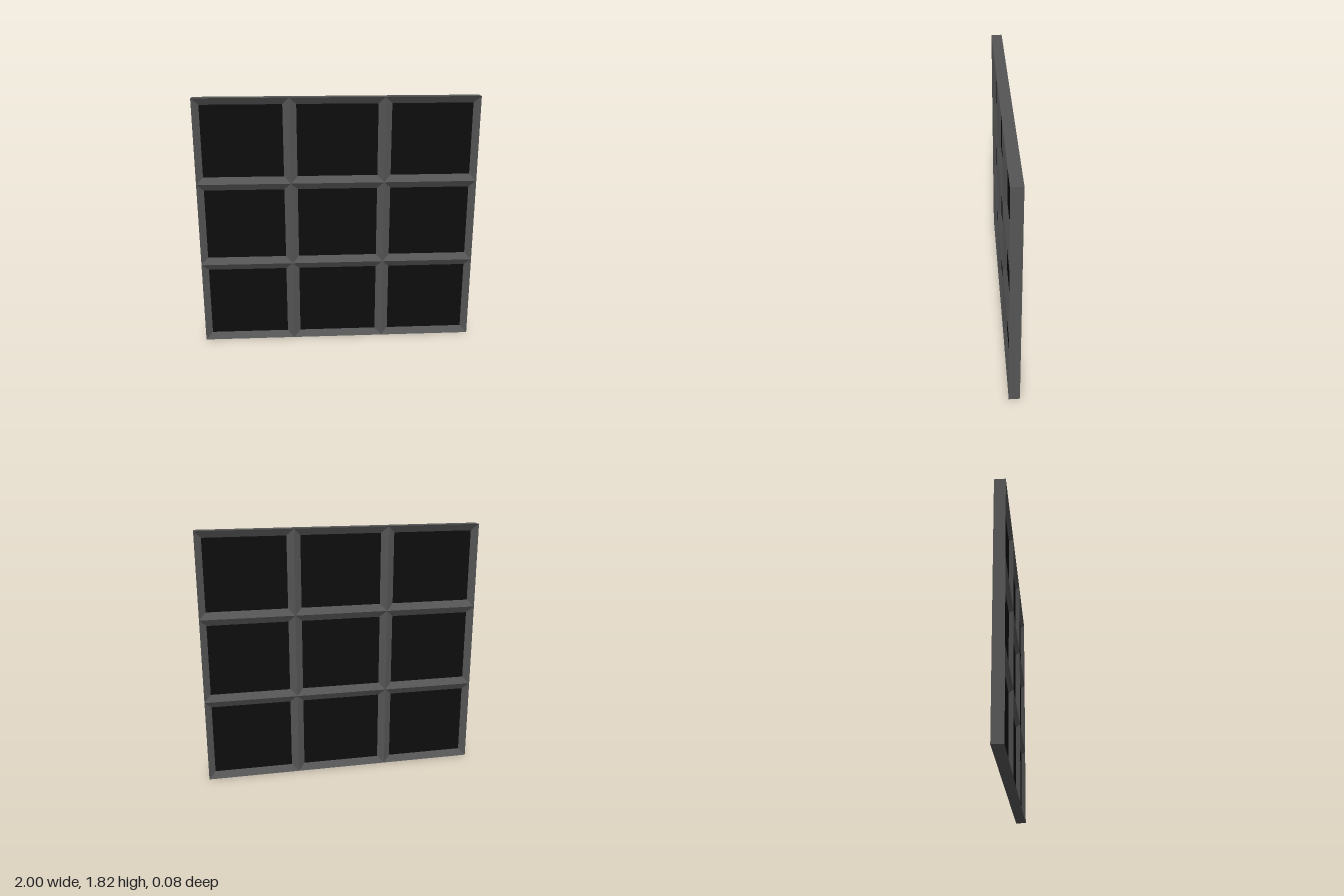
import * as THREE from 'three';

const W = 2, H = 1.82, D = 0.039;   // overall width, height, half depth
const COLS = 3, ROWS = 3;
const INSET = 0.048, PANE_Z = 0.01; // bevel width and pane half depth

// Joins two rectangles [width, height, z] with four flat quads
function rectLoft(a, b) {
  const corners = ([w, h, z]) => [[-1, -1], [1, -1], [1, 1], [-1, 1]].map(([x, y]) => [x * w / 2, y * h / 2, z]);
  const A = corners(a), B = corners(b), pos = [];
  for (let i = 0; i < 4; i++) {
    const j = (i + 1) % 4;
    pos.push(...A[i], ...A[j], ...B[j], ...A[i], ...B[j], ...B[i]);
  }
  const geo = new THREE.BufferGeometry();
  geo.setAttribute('position', new THREE.Float32BufferAttribute(pos, 3));
  geo.computeVertexNormals();
  return geo;
}

export function createModel() {
  const frameMat = new THREE.MeshStandardMaterial({ color: 0x555555 });
  frameMat.name = 'frameGrey';
  const paneMat = new THREE.MeshStandardMaterial({ color: 0x0d0d0d });
  paneMat.name = 'paneBlack';

  const model = new THREE.Group();
  model.name = 'griddedWindow';
  const add = (parent, geo, mat, name, x, y, z) => {
    const mesh = new THREE.Mesh(geo, mat);
    mesh.name = name;
    mesh.position.set(x, y, z);
    parent.add(mesh);
  };

  // Outer rim around the whole window
  add(model, rectLoft([W, H, -D], [W, H, D]), frameMat, 'outerRim', 0, H / 2, 0);

  // Bevelled cell surrounds and dark panes, the same on both faces
  const cw = W / COLS, ch = H / ROWS;
  const pw = cw - 2 * INSET, ph = ch - 2 * INSET;
  const bevel = rectLoft([cw, ch, D], [pw, ph, PANE_Z]);
  const pane = new THREE.PlaneGeometry(pw, ph);
  for (const side of ['front', 'back']) {
    const face = new THREE.Group();
    face.name = side + 'Face';
    if (side === 'back') face.rotation.y = Math.PI;
    for (let c = 0; c < COLS; c++) {
      for (let r = 0; r < ROWS; r++) {
        const x = (c + 0.5) * cw - W / 2, y = (r + 0.5) * ch;
        add(face, bevel, frameMat, 'cellBevel', x, y, 0);
        add(face, pane, paneMat, 'pane', x, y, PANE_Z);
      }
    }
    model.add(face);
  }
  return model;
}
